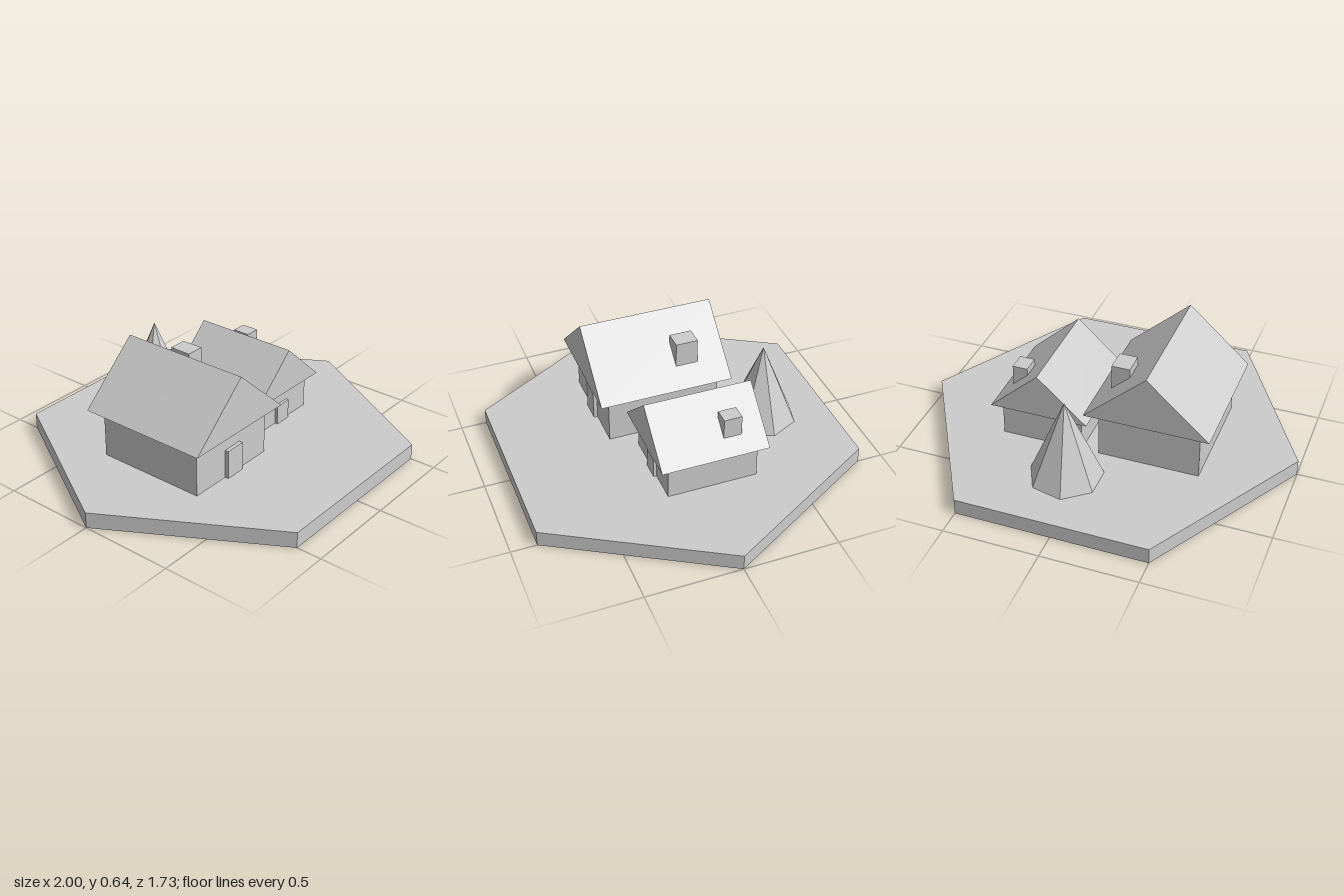
import * as THREE from 'three';

const grey = new THREE.MeshStandardMaterial({ color: 0xcccccc, flatShading: true });
grey.name = 'plain grey';

const GROUND = 0.085;

function addMesh(parent, name, geometry, x, y, z) {
  const mesh = new THREE.Mesh(geometry, grey);
  mesh.name = name;
  mesh.position.set(x, y, z);
  parent.add(mesh);
  return mesh;
}

// Box given by its width, bottom, top and depth
function addBox(parent, name, x, z, width, depth, bottom, top) {
  return addMesh(parent, name, new THREE.BoxGeometry(width, top - bottom, depth), x, (bottom + top) / 2, z);
}

// Cottage centred on its own ridge line, gable facing +z
function makeHouse(name, x, z, h) {
  const house = new THREE.Group();
  house.name = name;
  house.position.set(x, 0, z);

  addBox(house, 'walls', 0, 0, h.wallWidth, h.wallDepth, GROUND, h.eaves);

  // Gabled roof overhanging the walls on all sides
  const gable = new THREE.Shape([
    new THREE.Vector2(-h.roofWidth / 2, h.eaves),
    new THREE.Vector2(h.roofWidth / 2, h.eaves),
    new THREE.Vector2(0, h.ridge),
  ]);
  const roof = new THREE.ExtrudeGeometry(gable, { depth: h.roofDepth, bevelEnabled: false });
  addMesh(house, 'roof', roof, 0, 0, -h.roofDepth / 2);

  // Door standing slightly proud of the front wall
  addBox(house, 'door', h.doorX, h.wallDepth / 2, h.doorWidth, h.doorDepth, GROUND, h.doorTop);

  // Chimney on the +x roof slope
  const c = h.chimney;
  addBox(house, 'chimney', c.x, c.z, c.width, c.depth, c.bottom, c.top);
  return house;
}

export function createModel() {
  const model = new THREE.Group();
  model.name = 'villageTile';

  // Hexagonal ground with corners on the x axis
  const ground = addMesh(model, 'ground', new THREE.CylinderGeometry(1, 1, GROUND, 6), 0, GROUND / 2, 0);
  ground.rotation.y = Math.PI / 6;

  model.add(makeHouse('largeHouse', -0.296, 0.015, {
    wallWidth: 0.53, wallDepth: 0.6, eaves: 0.348, ridge: 0.642,
    roofWidth: 0.652, roofDepth: 0.712,
    doorX: 0.006, doorWidth: 0.112, doorDepth: 0.04, doorTop: 0.24,
    chimney: { x: 0.183, z: -0.142, width: 0.096, depth: 0.118, bottom: 0.4, top: 0.567 },
  }));

  model.add(makeHouse('smallHouse', 0.275, -0.05, {
    wallWidth: 0.43, wallDepth: 0.475, eaves: 0.278, ridge: 0.514,
    roofWidth: 0.518, roofDepth: 0.568,
    doorX: 0.003, doorWidth: 0.095, doorDepth: 0.032, doorTop: 0.192,
    chimney: { x: 0.145, z: -0.113, width: 0.08, depth: 0.095, bottom: 0.33, top: 0.455 },
  }));

  // Seven-sided conical tree
  const tree = addMesh(model, 'tree', new THREE.ConeGeometry(0.19, 0.443, 7), 0.06, GROUND + 0.2215, -0.5);
  tree.rotation.y = Math.PI / 2;

  return model;
}
